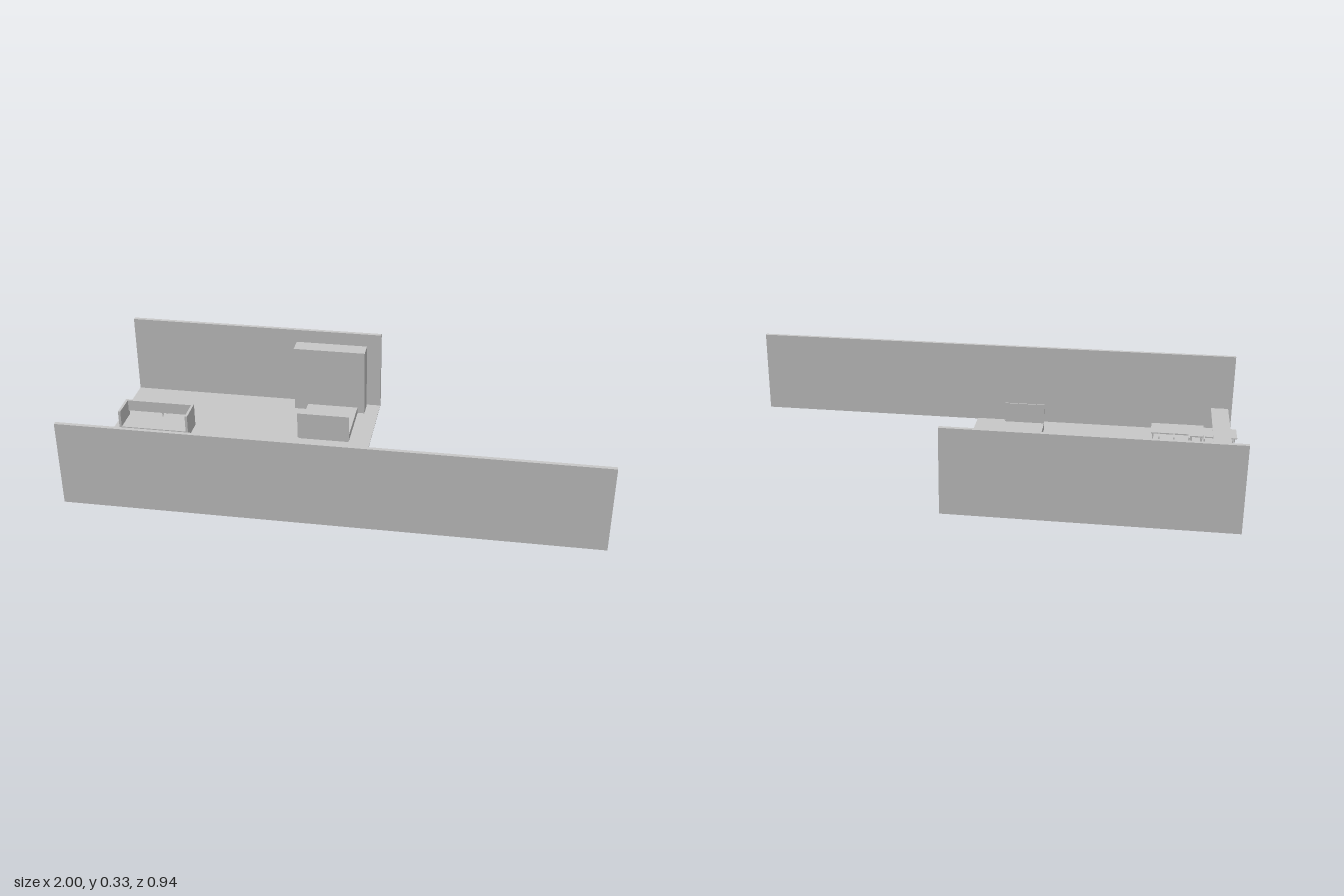
import * as THREE from 'three';

const grey = new THREE.MeshStandardMaterial({ color: 0xc8c8c8 });
grey.name = 'plain grey';

// Box given by its extents along each axis
function box(parent, name, x0, x1, y0, y1, z0, z1) {
  const mesh = new THREE.Mesh(new THREE.BoxGeometry(x1 - x0, y1 - y0, z1 - z0), grey);
  mesh.position.set((x0 + x1) / 2, (y0 + y1) / 2, (z0 + z1) / 2);
  mesh.name = name;
  parent.add(mesh);
  return mesh;
}

function part(parent, name) {
  const group = new THREE.Group();
  group.name = name;
  parent.add(group);
  return group;
}

// Four square legs, inset from the corners
function legs(parent, x0, x1, y1, z0, z1, inset, t) {
  for (const x of [x0 + inset, x1 - inset - t])
    for (const z of [z0 + inset, z1 - inset - t])
      box(parent, 'leg', x, x + t, 0.003, y1, z, z + t);
}

function table(parent, name, x0, x1, z0, z1, h, inset) {
  const g = part(parent, name);
  box(g, 'tableTop', x0, x1, h - 0.005, h, z0, z1);
  legs(g, x0, x1, h - 0.005, z0, z1, inset, 0.004);
}

function bed(parent, name, x0, x1, z0, z1) {
  const g = part(parent, name);
  box(g, 'bedBase', x0 + 0.003, x1 - 0.003, 0.003, 0.01, z0 + 0.003, z1 - 0.003);
  box(g, 'mattress', x0, x1, 0.01, 0.038, z0, z1);
  box(g, 'headboard', x0, x1, 0.038, 0.12, z1 - 0.003, z1 + 0.002);
}

export function createModel() {
  const room = new THREE.Group();
  room.name = 'furnishedRoom';

  // Floor and the two walls
  box(room, 'floor', -0.99, 0.075, 0, 0.003, -0.469, 0.454);
  box(room, 'frontWall', -0.99, 1, 0, 0.333, 0.454, 0.469);
  box(room, 'backWall', -0.99, 0.075, 0.003, 0.333, -0.469, -0.453);

  // Wardrobe with a door panel raised off the floor
  const wardrobe = part(room, 'wardrobe');
  box(wardrobe, 'cabinet', -0.28, 0.018, 0.003, 0.285, -0.439, -0.374);
  box(wardrobe, 'doors', -0.28, 0.018, 0.013, 0.285, -0.374, -0.37);

  // Beds
  bed(room, 'wideBed', -0.22, -0.009, -0.356, -0.123);
  bed(room, 'narrowBed', -0.22, -0.057, 0.118, 0.35);

  // Sofa with a gap between the seat and the back
  const sofa = part(room, 'sofa');
  box(sofa, 'seat', -0.942, -0.672, 0.003, 0.03, -0.167, -0.06);
  box(sofa, 'back', -0.942, -0.672, 0.053, 0.1, -0.167, -0.157);
  for (const x of [-0.952, -0.672]) box(sofa, 'arm', x, x + 0.01, 0.003, 0.1, -0.167, -0.06);

  // Tables
  table(room, 'coffeeTable', -0.815, -0.692, -0.25, -0.178, 0.047, 0.007);
  table(room, 'sideTable', -1, -0.813, 0.178, 0.272, 0.09, 0.008);
  table(room, 'diningTable', -0.872, -0.663, 0.192, 0.293, 0.09, 0.006);

  // Long counter reaching out from the front wall
  box(room, 'counter', -0.975, -0.905, 0.102, 0.106, 0.076, 0.454);

  // Row of chairs
  for (let i = 0; i < 4; i++) {
    const x = -0.872 + i * 0.0585;
    const chair = part(room, 'chair');
    box(chair, 'seat', x, x + 0.053, 0.054, 0.058, 0.11, 0.162);
    box(chair, 'backrest', x, x + 0.004, 0.058, 0.108, 0.11, 0.162);
    legs(chair, x, x + 0.053, 0.054, 0.11, 0.162, 0, 0.003);
  }

  return room;
}
